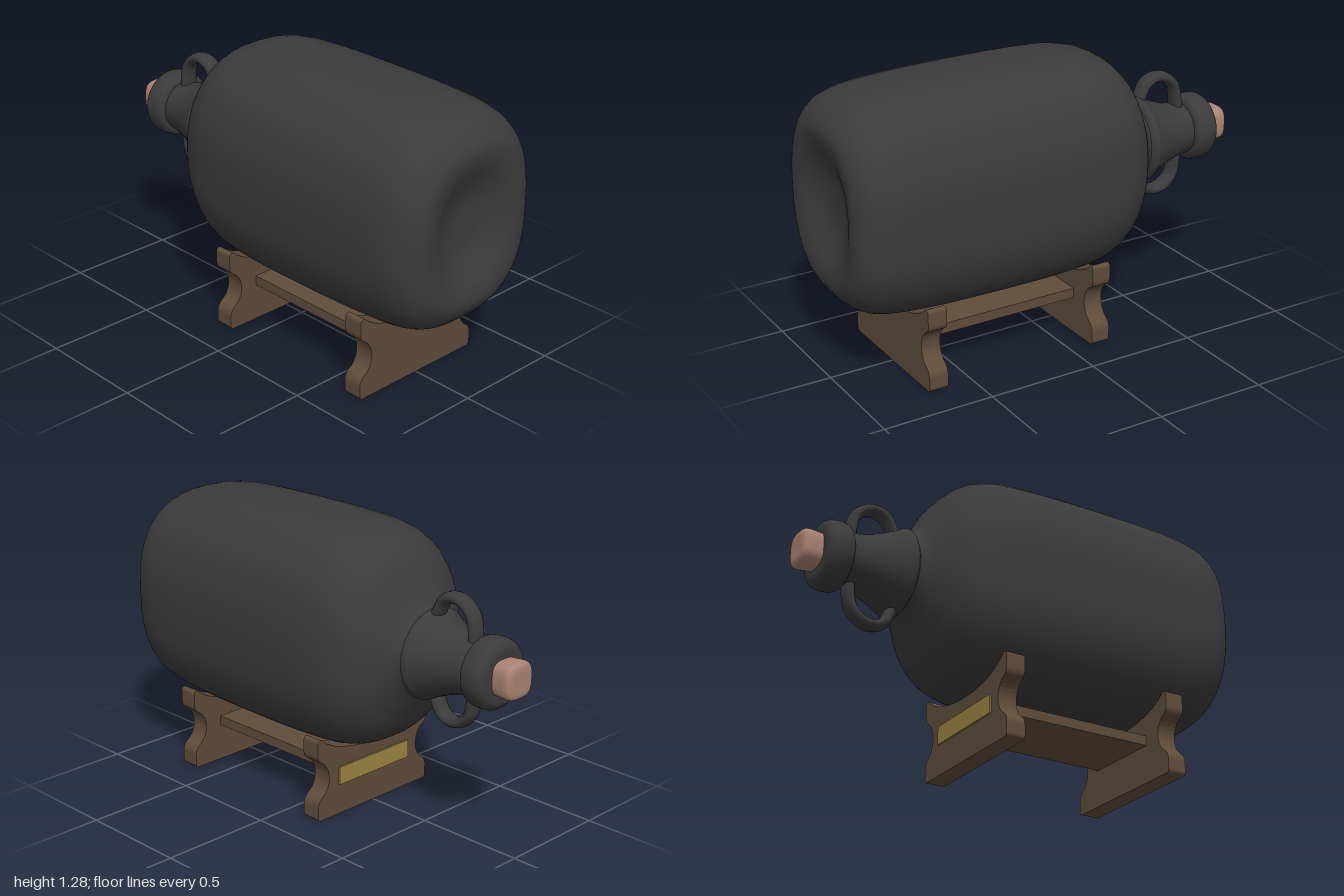
import * as THREE from 'three';

const AXIS_Y = 0.778; // height of the bottle's long axis

const mat = (name, color) => {
  const m = new THREE.MeshStandardMaterial({ color });
  m.name = name;
  return m;
};

// Smooth superellipse loft running from front to back.
// Each row is [z, half width, half height, exponent].
function loft(rows, steps, sides) {
  const size = new THREE.CatmullRomCurve3(rows.map(([z, rx, ry]) => new THREE.Vector3(rx, ry, z)));
  const pos = [], index = [];
  for (let i = 0; i <= steps; i++) {
    const t = i / steps, f = t * (rows.length - 1), k = Math.min(Math.floor(f), rows.length - 2);
    const p = size.getPoint(t);
    const e = 2 / THREE.MathUtils.lerp(rows[k][3], rows[k + 1][3], f - k);
    for (let j = 0; j < sides; j++) {
      const a = (j / sides) * Math.PI * 2, c = Math.cos(a), s = Math.sin(a);
      pos.push(
        Math.sign(c) * Math.abs(c) ** e * Math.max(p.x, 0.0005),
        Math.sign(s) * Math.abs(s) ** e * Math.max(p.y, 0.0005),
        p.z
      );
    }
  }
  for (let i = 0; i < steps; i++) {
    for (let j = 0; j < sides; j++) {
      const a = i * sides + j, b = i * sides + ((j + 1) % sides);
      index.push(a, a + sides, b, b, a + sides, b + sides);
    }
  }
  const g = new THREE.BufferGeometry();
  g.setAttribute('position', new THREE.Float32BufferAttribute(pos, 3));
  g.setIndex(index);
  g.computeVertexNormals();
  return g;
}

// Cradle end board: waisted sides and a curved saddle on top
function boardShape() {
  const s = new THREE.Shape();
  s.moveTo(-0.32, 0);
  s.lineTo(0.32, 0);
  s.quadraticCurveTo(0.337, 0, 0.337, 0.02);
  s.lineTo(0.337, 0.065);
  s.quadraticCurveTo(0.335, 0.09, 0.315, 0.105);
  s.bezierCurveTo(0.255, 0.14, 0.255, 0.235, 0.315, 0.27);
  s.quadraticCurveTo(0.337, 0.28, 0.337, 0.31);
  s.lineTo(0.337, 0.36);
  s.quadraticCurveTo(0.335, 0.378, 0.315, 0.375);
  s.bezierCurveTo(0.2, 0.255, -0.2, 0.255, -0.315, 0.375);
  s.quadraticCurveTo(-0.335, 0.378, -0.337, 0.36);
  s.lineTo(-0.337, 0.31);
  s.quadraticCurveTo(-0.337, 0.28, -0.315, 0.27);
  s.bezierCurveTo(-0.255, 0.235, -0.255, 0.14, -0.315, 0.105);
  s.quadraticCurveTo(-0.335, 0.09, -0.337, 0.065);
  s.lineTo(-0.337, 0.02);
  s.quadraticCurveTo(-0.337, 0, -0.32, 0);
  return s;
}

export function createModel() {
  const glass = mat('dark glaze', 0x3b3b3b);
  const wood = mat('brown wood', 0x5f4c3b);
  const corkMat = mat('cork', 0xaa8373);
  const brass = mat('brass', 0x9c8341);

  const model = new THREE.Group();
  model.name = 'bottleOnCradle';
  const add = (parent, name, geometry, material, x = 0, y = 0, z = 0) => {
    const m = new THREE.Mesh(geometry, material);
    m.name = name;
    m.position.set(x, y, z);
    parent.add(m);
    return m;
  };

  const bottle = new THREE.Group();
  bottle.name = 'bottle';
  bottle.position.y = AXIS_Y;
  model.add(bottle);

  // Body with a dimpled base and rounded shoulder
  add(bottle, 'body', loft([
    [0.93, 0, 0, 2], [0.937, 0.09, 0.11, 2], [0.965, 0.17, 0.2, 2.1], [0.992, 0.23, 0.27, 2.3],
    [0.998, 0.29, 0.34, 2.5], [0.96, 0.352, 0.402, 2.6], [0.91, 0.382, 0.442, 2.6],
    [0.84, 0.4, 0.466, 2.6], [0.68, 0.41, 0.486, 2.6], [0.25, 0.414, 0.497, 2.6],
    [-0.02, 0.409, 0.494, 2.6], [-0.18, 0.398, 0.482, 2.6], [-0.29, 0.377, 0.45, 2.5],
    [-0.37, 0.338, 0.383, 2.35], [-0.43, 0.266, 0.29, 2.2], [-0.49, 0.188, 0.2, 2],
    [-0.54, 0.165, 0.165, 2],
  ], 80, 48), glass);

  // Neck: flared collar tapering to the lip
  const round = (rows) => rows.map(([z, r]) => [z, r, r, 2]);
  add(bottle, 'collar', loft(round([
    [-0.5, 0.165], [-0.515, 0.18], [-0.53, 0.198], [-0.545, 0.198], [-0.57, 0.184],
    [-0.64, 0.153], [-0.71, 0.13], [-0.77, 0.12], [-0.83, 0.115],
  ]), 40, 40), glass);
  add(bottle, 'lip', loft(round([
    [-0.79, 0.1], [-0.793, 0.13], [-0.81, 0.148], [-0.85, 0.153], [-0.885, 0.148],
    [-0.908, 0.125], [-0.912, 0.08], [-0.912, 0],
  ]), 40, 40), glass);

  // Squarish stopper
  const plug = (z, r) => [z, r, r, 3.2];
  add(bottle, 'stopper', loft([
    plug(-0.88, 0.074), plug(-0.92, 0.076), plug(-0.975, 0.079), plug(-0.992, 0.074),
    plug(-1, 0.058), plug(-1, 0),
  ], 30, 32), corkMat);

  // Pair of loop handles above and below the neck
  for (const side of [1, -1]) {
    const path = new THREE.CatmullRomCurve3([
      [0.14, -0.53], [0.19, -0.56], [0.245, -0.59], [0.268, -0.635], [0.262, -0.69],
      [0.22, -0.74], [0.16, -0.757], [0.1, -0.76],
    ].map(([y, z]) => new THREE.Vector3(0, side * y, z)));
    const handle = add(bottle, side > 0 ? 'upperHandle' : 'lowerHandle',
      new THREE.TubeGeometry(path, 32, 0.025, 14), glass);
    handle.scale.x = 1.65;
  }

  // Wooden cradle
  const cradle = new THREE.Group();
  cradle.name = 'cradle';
  model.add(cradle);
  const board = new THREE.ExtrudeGeometry(boardShape(), { depth: 0.088, bevelEnabled: false, curveSegments: 12 });
  add(cradle, 'frontBoard', board, wood, 0, 0, 0.617);
  add(cradle, 'backBoard', board, wood, 0, 0, -0.19);
  add(cradle, 'shelf', new THREE.BoxGeometry(0.37, 0.045, 0.74), wood, 0, 0.192, 0.26);
  add(cradle, 'plaque', new THREE.BoxGeometry(0.43, 0.082, 0.009), brass, 0, 0.18, -0.1935);

  return model;
}
